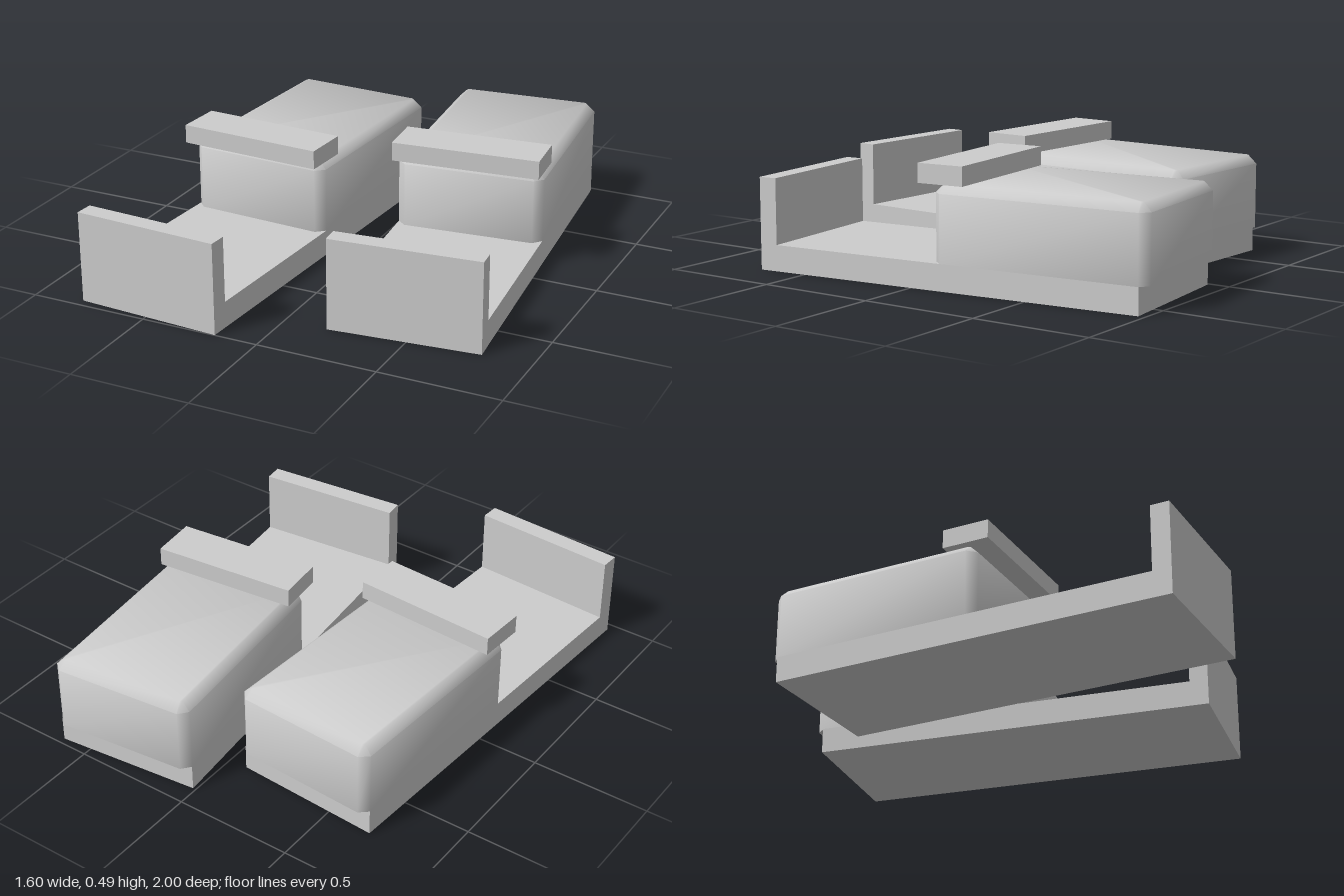
import * as THREE from 'three';
import { toCreasedNormals } from 'three/addons/utils/BufferGeometryUtils.js';

const WIDTH = 0.62;

// Chamfered rectangle ring at height y, ordered front, +x side, back, -x side
function ring(w, l, c, y) {
  return [
    [-w + c, l], [w - c, l], [w, l - c], [w, -l + c],
    [w - c, -l], [-w + c, -l], [-w, -l + c], [-w, l - c],
  ].map(([x, z]) => [x, y, z]);
}

// Block with a flat bottom, softened upright corners and softened top edge
function softBlock(width, length, bottom, top, r) {
  const w = width / 2, l = length / 2;
  const rings = [
    ring(w, l, r, bottom),
    ring(w, l, r, top - r),
    ring(w - r, l - r, 0.008, top),
  ];
  const n = 8;
  const index = [];
  for (let k = 0; k < rings.length - 1; k++) {
    for (let i = 0; i < n; i++) {
      const a = k * n + i, b = k * n + (i + 1) % n;
      index.push(a, b, b + n, a, b + n, a + n);
    }
  }
  const last = (rings.length - 1) * n;
  for (let i = 1; i < n - 1; i++) {
    index.push(last, last + i, last + i + 1);
    index.push(0, i + 1, i);
  }
  const geometry = new THREE.BufferGeometry();
  geometry.setAttribute('position', new THREE.Float32BufferAttribute(rings.flat(2), 3));
  geometry.setIndex(index);
  return toCreasedNormals(geometry, 0.9);
}

export function createModel() {
  const grey = new THREE.MeshStandardMaterial({ color: 0xcccccc });
  grey.name = 'light grey';

  const add = (parent, name, geometry) => {
    const mesh = new THREE.Mesh(geometry, grey);
    mesh.name = name;
    parent.add(mesh);
    return mesh;
  };

  // Full-width slab between two heights and two depths (z runs back from the front edge)
  const slab = (parent, name, y0, y1, front, back) =>
    add(parent, name, new THREE.BoxGeometry(WIDTH, y1 - y0, front - back))
      .position.set(0, (y0 + y1) / 2, (front + back) / 2);

  // One unit; its origin is the middle of the front edge
  function createUnit(name, x, z, turn) {
    const unit = new THREE.Group();
    unit.name = name;

    // L-shaped base: side profile drawn as (depth from front, height)
    const profile = new THREE.Shape([
      [0, 0], [1.69, 0], [1.69, 0.108], [0.077, 0.108], [0.077, 0.38], [0, 0.38],
    ].map(([d, y]) => new THREE.Vector2(d, y)));
    const base = new THREE.ExtrudeGeometry(profile, { depth: WIDTH, bevelEnabled: false });
    base.translate(0, 0, -WIDTH / 2).rotateY(Math.PI / 2);
    add(unit, 'baseWithFrontPlate', base);

    // Softened body at the back, slightly overhanging the base
    add(unit, 'body', softBlock(WIDTH, 0.912, 0.108, 0.415, 0.035)).position.z = -1.266;

    // Bar lying across the front of the body
    slab(unit, 'topBar', 0.415, 0.493, -0.75, -0.947);

    unit.position.set(x, 0, z);
    unit.rotation.y = turn;
    return unit;
  }

  const model = new THREE.Group();
  model.name = 'pair';
  model.add(
    createUnit('rightUnit', -0.49, 0.98, -0.06),
    createUnit('leftUnit', 0.49, 0.74, 0.1),
  );
  return model;
}
